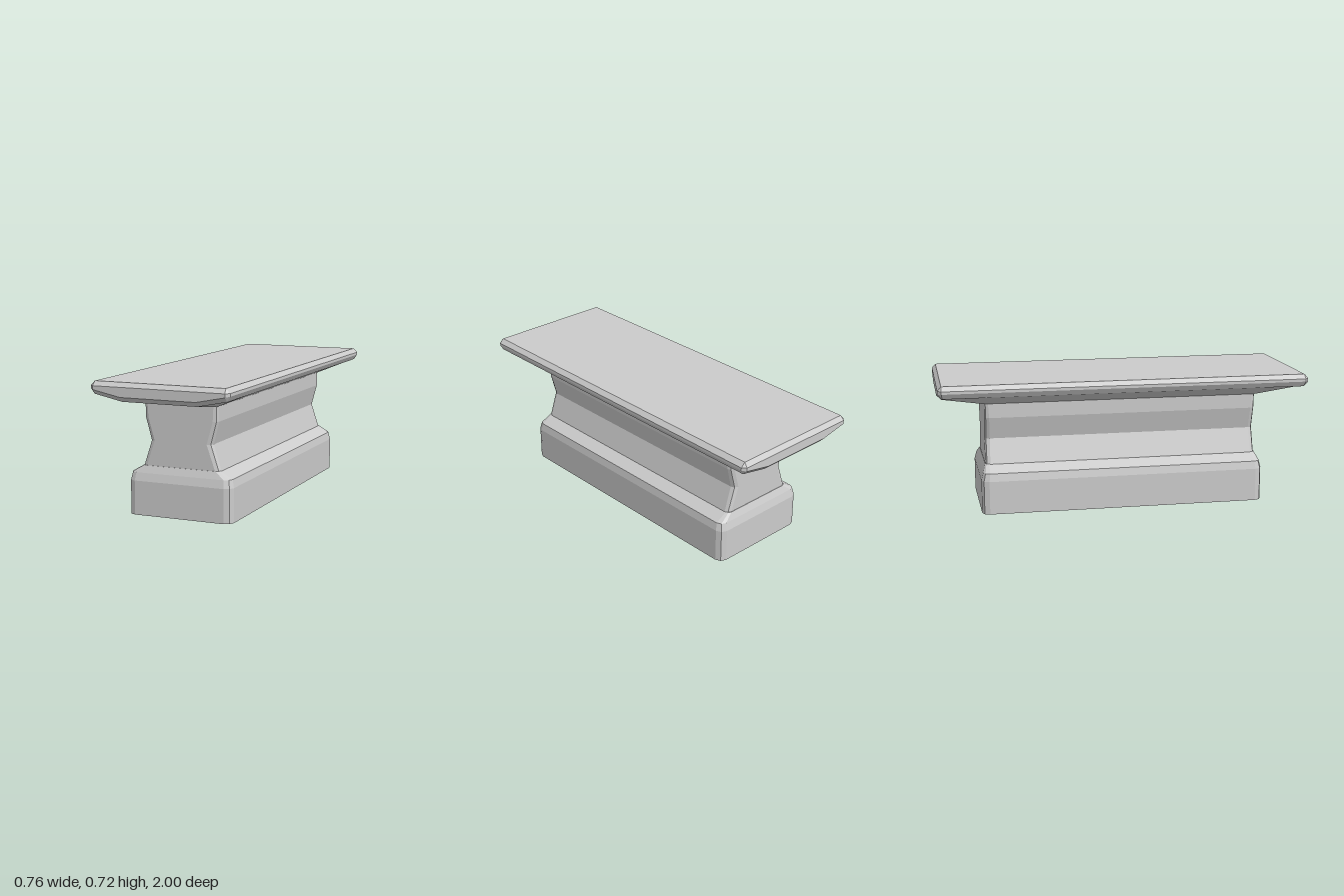
import * as THREE from 'three';

// Skin a stack of rings. Each ring lists the points of its +x +z corner, from side to end;
// the other three corners are mirrored from it.
function loft(name, sections) {
  const rings = sections.map((corner) => {
    const ring = [];
    for (const [sx, sz, flip] of [[1, 1, false], [-1, 1, true], [-1, -1, false], [1, -1, true]]) {
      const points = corner.map(([x, y, z]) => new THREE.Vector3(sx * x, y, sz * z));
      ring.push(...(flip ? points.reverse() : points));
    }
    return ring;
  });

  const positions = [];
  const u = new THREE.Vector3(), v = new THREE.Vector3();
  const tri = (a, b, c) => {
    u.subVectors(b, a);
    v.subVectors(c, a);
    if (u.cross(v).lengthSq() < 1e-14) return; // skip collapsed faces
    for (const p of [a, b, c]) positions.push(p.x, p.y, p.z);
  };

  // walls
  const n = rings[0].length;
  for (let i = 0; i < rings.length - 1; i++) {
    for (let j = 0; j < n; j++) {
      const k = (j + 1) % n;
      const a = rings[i][j], b = rings[i][k], c = rings[i + 1][k], d = rings[i + 1][j];
      tri(a, d, b);
      tri(b, d, c);
    }
  }
  // end caps
  const first = rings[0], last = rings[rings.length - 1];
  for (let j = 1; j < n - 1; j++) {
    tri(first[0], first[j], first[j + 1]);
    tri(last[0], last[j + 1], last[j]);
  }

  const geometry = new THREE.BufferGeometry();
  geometry.setAttribute('position', new THREE.Float32BufferAttribute(positions, 3));
  geometry.computeVertexNormals();
  const material = new THREE.MeshStandardMaterial({ color: 0xcccccc, flatShading: true });
  const mesh = new THREE.Mesh(geometry, material);
  mesh.name = name;
  return mesh;
}

// Two-facet bevelled corner of a rectangle with half sizes hx, hz
const bevel = (hx, y, hz, r) => [
  [hx, y, hz - r],
  [hx - r * 0.3, y, hz - r * 0.3],
  [hx - r, y, hz],
];

export function createModel() {
  const model = new THREE.Group();
  model.name = 'anvilTable';

  // Block foot with softened shoulders
  model.add(loft('base', [
    bevel(0.29, 0, 0.778, 0.04),
    bevel(0.29, 0.18, 0.778, 0.04),
    bevel(0.281, 0.222, 0.767, 0.035),
    bevel(0.215, 0.26, 0.752, 0.02),
  ]));

  // Pinched waist
  model.add(loft('waist', [
    bevel(0.217, 0.25, 0.75, 0.025),
    bevel(0.217, 0.26, 0.75, 0.025),
    bevel(0.174, 0.392, 0.75, 0.028),
    bevel(0.205, 0.51, 0.75, 0.025),
    bevel(0.205, 0.6, 0.75, 0.02),
  ]));

  // Slab: flared underside with folded corners, chamfered rim and flat top
  const neck = [0.205, 0.588, 0.75];
  const side = [0.36, 0.652, 0.75], end = [0.205, 0.62, 0.975];
  const fold = side.map((s, i) => (s + end[i]) / 2);
  const tip = [0.36, 0.652, 0.975];
  const top = [0.355, 0.718, 0.98];
  model.add(loft('top', [
    [neck, neck, neck, neck],
    [side, fold, fold, end],
    [side, tip, tip, end],
    [[0.378, 0.68, 0.75], [0.378, 0.68, 0.98], [0.358, 0.676, 1], [0.205, 0.645, 1]],
    [[0.378, 0.695, 0.75], [0.378, 0.695, 0.98], [0.358, 0.695, 1], [0.205, 0.695, 1]],
    [[0.355, 0.718, 0.75], top, top, [0.205, 0.718, 0.98]],
  ]));

  return model;
}
